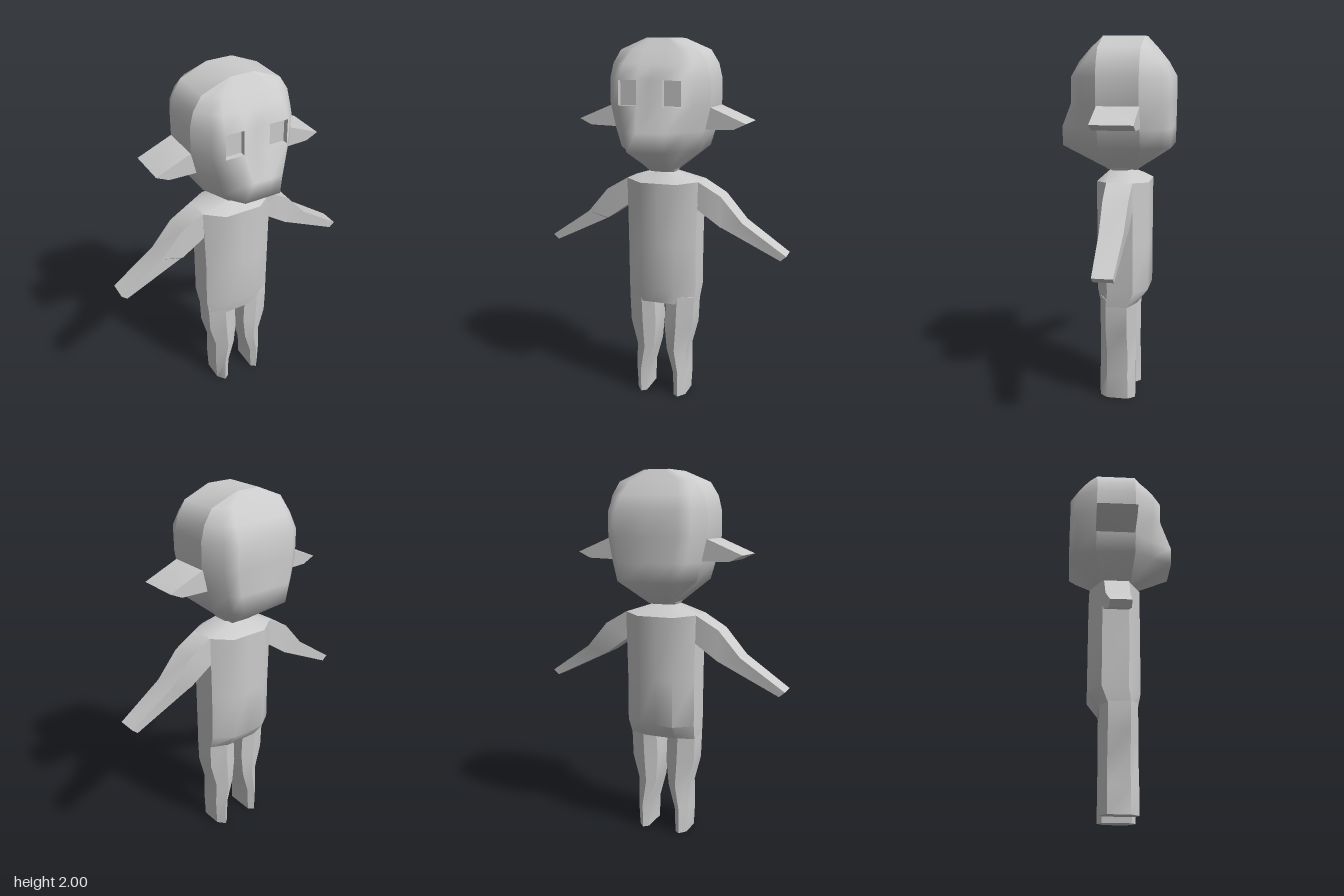
import * as THREE from 'three';
import { toCreasedNormals } from 'three/addons/utils/BufferGeometryUtils.js';

const material = new THREE.MeshStandardMaterial({ color: 0xcccccc });

function mesh(name, geometry) {
  const m = new THREE.Mesh(geometry, material);
  m.name = name;
  return m;
}

function build(points, index) {
  const g = new THREE.BufferGeometry();
  g.setAttribute('position', new THREE.Float32BufferAttribute(points.flat(), 3));
  g.setIndex(index);
  g.computeVertexNormals();
  return g;
}

// Smooth open grid of points; "holes" lists skipped cells as 'row,column'
function sheet(rows, holes = []) {
  const n = rows[0].length, index = [];
  for (let r = 0; r < rows.length - 1; r++) {
    for (let c = 0; c < n - 1; c++) {
      if (holes.includes(`${r},${c}`)) continue;
      const a = r * n + c, d = a + n;
      index.push(a, d, a + 1, a + 1, d, d + 1);
    }
  }
  return build(rows.flat(), index);
}

// Closed cross-sections joined in order; side -1 mirrors the shape in x
function loft(rings, { side = 1, startCap = true, endCap = true, crease = 0.7 } = {}) {
  if (side < 0) rings = rings.map(ring => ring.map(([x, y, z]) => [-x, y, z]).reverse());
  const n = rings[0].length, last = (rings.length - 1) * n, index = [];
  for (let r = 0; r < rings.length - 1; r++) {
    for (let c = 0; c < n; c++) {
      const a = r * n + c, b = r * n + (c + 1) % n;
      index.push(a, a + n, b, b, a + n, b + n);
    }
  }
  for (let i = 1; i < n - 1; i++) {
    if (startCap) index.push(0, i, i + 1);
    if (endCap) index.push(last, last + i + 1, last + i);
  }
  return toCreasedNormals(build(rings.flat(), index), crease);
}

function createHead() {
  const head = new THREE.Group();
  head.name = 'head';
  // y, half width, cheek x, cheek z, outer x, inner x, face z, back z, band front z, band back z
  const levels = [
    [2.00, 0.07, 0.06, 0.08, 0.05, 0.03, 0.08, -0.14, 0.08, -0.14],
    [1.94, 0.215, 0.17, 0.11, 0.13, 0.06, 0.13, -0.19, 0.08, -0.14],
    [1.87, 0.26, 0.205, 0.15, 0.16, 0.07, 0.185, -0.245, 0.08, -0.14],
    [1.79, 0.28, 0.22, 0.185, 0.17, 0.07, 0.23, -0.29, 0.08, -0.14],
    [1.66, 0.28, 0.22, 0.18, 0.17, 0.07, 0.23, -0.29, 0.08, -0.14],
    [1.53, 0.25, 0.18, 0.17, 0.11, 0.05, 0.295, -0.29, 0.08, -0.14],
    [1.43, 0.22, 0.155, 0.18, 0.10, 0.045, 0.295, -0.29, 0.08, -0.14],
    [1.30, 0.06, 0.05, 0.06, 0.04, 0.02, 0.06, -0.10, 0.06, -0.10],
  ];

  // Face with a muzzle and two openings for the eyes
  const face = levels.map(([y, w, x2, z2, x1, x0, z, , bf]) => {
    const half = [[x0, y, z], [x1, y, z], [x2, y, z2], [w, y, bf]];
    return [...half.map(p => [-p[0], p[1], p[2]]).reverse(), [0, y, z], ...half];
  });
  head.add(mesh('face', sheet(face, ['3,2', '3,5'])));

  // Back of the skull
  const back = levels.map(([y, w, , , , , , z, , bb]) => {
    const half = [[w, y, bb], [w * 0.82, y, bb + (z - bb) * 0.72], [w * 0.61, y, z]];
    return [...half, [0, y, z], ...half.map(p => [-p[0], p[1], p[2]]).reverse()];
  });
  head.add(mesh('headBack', sheet(back)));

  // Band running up one side, over the crown and down the other
  const strip = (l, s) => [[s * l[1], l[0], l[8]], [s * l[1], l[0], l[9]]];
  const band = [
    ...levels.map(l => strip(l, -1)).reverse(),
    ...levels.map(l => strip(l, 1)),
  ];
  head.add(mesh('headBand', sheet(band)));

  for (const side of [1, -1]) {
    const label = side > 0 ? 'left' : 'right';
    // Sunken eye
    const eye = z => [[0.17, 1.66, z], [0.07, 1.66, z], [0.07, 1.79, z], [0.17, 1.79, z]];
    head.add(mesh(label + 'Eye', loft([eye(0.23), eye(0.2)], { side, startCap: false })));
    // Wedge-shaped ear
    const ear = z => [[0.2, 1.535], [0.4, 1.54], [0.467, 1.572], [0.28, 1.65], [0.2, 1.65]]
      .map(([x, y]) => [x, y, z]);
    head.add(mesh(label + 'Ear', loft([ear(0.076), ear(-0.144)], { side })));
  }
  return head;
}

// Torso section: chamfered front and back, flat sides
function torsoRing([y, w, front, sideFront, sideBack, back, ySide = y]) {
  const m = w * 0.5;
  return [
    [-w, ySide, sideFront], [-m, y, front], [0, y, front], [m, y, front], [w, ySide, sideFront],
    [w, ySide, sideBack], [m, y, back], [0, y, back], [-m, y, back], [-w, ySide, sideBack],
  ];
}

// Leg section between an inner and an outer x
function legRing([y, inner, outer, front, back]) {
  const m = inner + (outer - inner) * 0.45;
  return [
    [inner, y, front - 0.02], [m, y, front], [outer, y, front - 0.045],
    [outer, y, back + 0.04], [m, y, back], [inner, y, back + 0.025],
  ];
}

// Arm section: top and bottom corners with a depth range
function armRing([xt, yt, xb, yb, front, back]) {
  return [[xt, yt, front], [xt, yt, back], [xb, yb, back], [xb, yb, front]];
}

export function createModel() {
  const model = new THREE.Group();
  model.name = 'figure';
  model.add(createHead());

  // Torso, sloping up into the shoulders
  model.add(mesh('torso', loft([
    [1.295, 0.07, 0.05, 0.035, -0.05, -0.065],
    [1.24, 0.205, 0.11, 0.04, -0.1, -0.17, 1.25],
    [0.9, 0.197, 0.11, 0.045, -0.1, -0.17],
    [0.64, 0.197, 0.11, 0.04, -0.1, -0.17],
    [0.56, 0.19, 0.095, 0.05, -0.07, -0.11],
  ].map(torsoRing))));

  // Short neck, pinched in the middle
  model.add(mesh('neck', loft([
    [1.34, 0.085, 0.09, 0.06, -0.09, -0.12],
    [1.295, 0.065, 0.045, 0.035, -0.045, -0.06],
    [1.26, 0.085, 0.075, 0.04, -0.07, -0.1],
  ].map(torsoRing))));

  for (const side of [1, -1]) {
    const label = side > 0 ? 'left' : 'right';
    model.add(mesh(label + 'Arm', loft([
      [0.19, 1.253, 0.19, 1.105, 0.04, -0.1],
      [0.205, 1.25, 0.2, 1.1, 0.04, -0.1],
      [0.33, 1.178, 0.33, 1.01, 0.035, -0.098],
      [0.45, 1.04, 0.34, 1.005, 0.03, -0.095],
      [0.69, 0.877, 0.66, 0.85, 0.02, -0.085],
    ].map(armRing), { side, crease: 0.5 })));
    model.add(mesh(label + 'Leg', loft([
      [0.6, 0.035, 0.19, 0.095, -0.11],
      [0.55, 0.033, 0.19, 0.095, -0.107],
      [0.42, 0.027, 0.185, 0.095, -0.106],
      [0.28, 0.04, 0.148, 0.095, -0.106],
      [0.14, 0.078, 0.152, 0.095, -0.106],
      [0, 0.083, 0.145, 0.095, -0.106],
    ].map(legRing), { side })));
  }
  return model;
}
